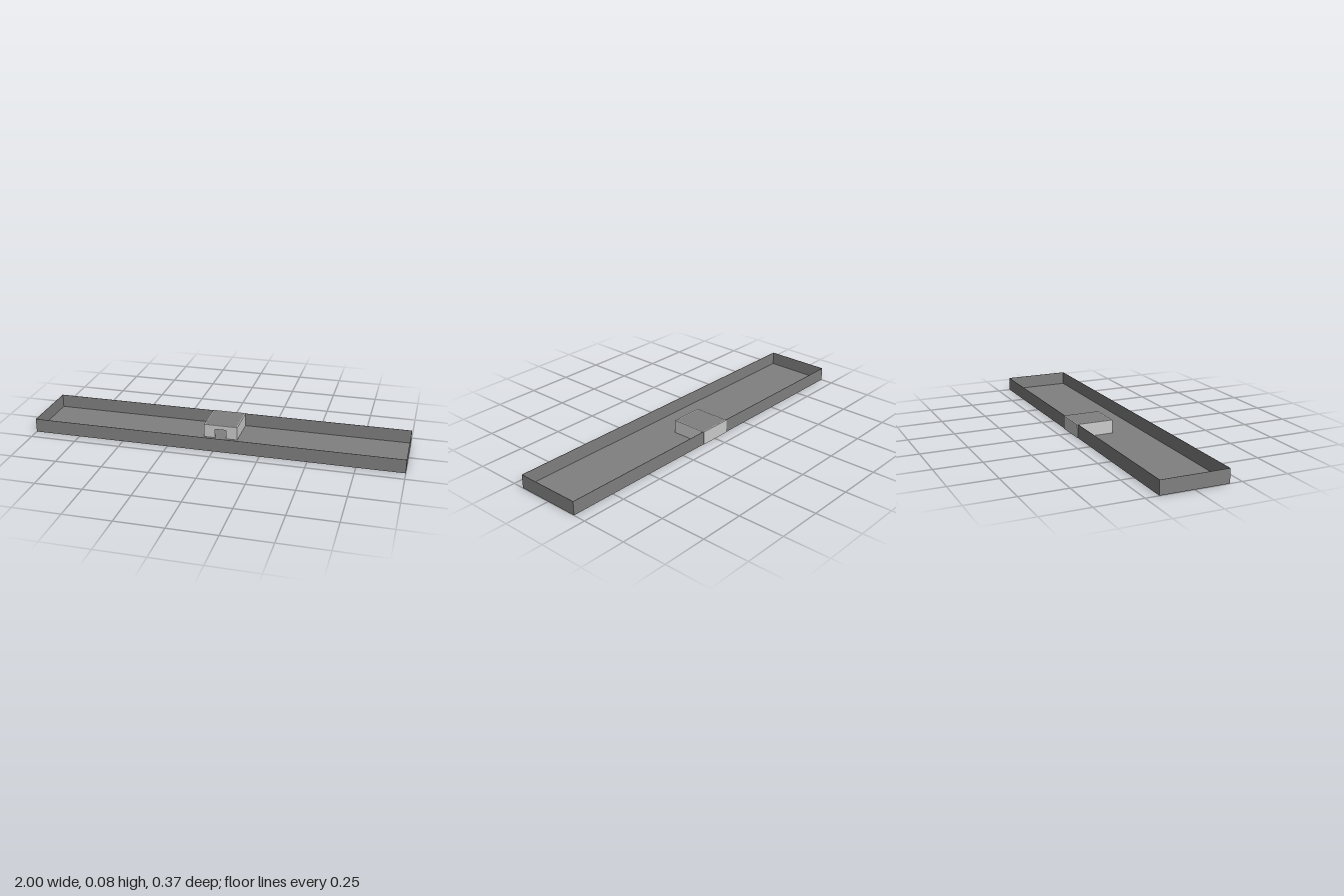
import * as THREE from 'three';

const material = (color) => new THREE.MeshStandardMaterial({ color, flatShading: true });

export function createModel() {
  const model = new THREE.Group();
  const grey = material(0x808080), light = material(0xcccccc), red = material(0xc8401c);

  // Box given by its minimum and maximum corners
  const box = (parent, name, mat, [x0, y0, z0], [x1, y1, z1]) => {
    const mesh = new THREE.Mesh(new THREE.BoxGeometry(x1 - x0, y1 - y0, z1 - z0), mat);
    mesh.position.set((x0 + x1) / 2, (y0 + y1) / 2, (z0 + z1) / 2);
    mesh.name = name;
    parent.add(mesh);
  };

  // Shallow open tray with thin walls
  const tray = new THREE.Group();
  tray.name = 'tray';
  const H = 0.075, back = -0.18, front = 0.184, t = 0.002;
  box(tray, 'floor', grey, [-1, 0.0005, back], [1, 0.0025, front]);
  box(tray, 'frontWall', grey, [-1, 0.0005, front - t], [1, H, front]);
  box(tray, 'backWall', grey, [-1, 0.0005, back], [1, H, back + t]);
  for (const s of [-1, 1]) {
    const a = s - s * t;
    box(tray, s > 0 ? 'leftWall' : 'rightWall', grey,
      [Math.min(s, a), 0.0005, back], [Math.max(s, a), H, front]);
  }

  // Small hut against the back wall, its roof set between the walls
  const hut = new THREE.Group();
  hut.name = 'hut';
  const W = 0.092, w = 0.005, hb = -0.184, hf = 0.019, y = 0.001;
  for (const s of [-1, 1]) {
    const a = s * W, b = s * (W - w);
    box(hut, s > 0 ? 'hutLeftWall' : 'hutRightWall', light,
      [Math.min(a, b), y, hb], [Math.max(a, b), H, hf]);
  }
  box(hut, 'hutBackWall', light, [-W + w, y, hb], [W - w, H, hb + w]);
  box(hut, 'hutRoof', grey, [-W + w, H - 0.004, hb + w], [W - w, H, hf - w]);

  // Front wall with a doorway
  const d = 0.031, doorTop = 0.052;
  const outline = [[-W + w, y], [-d, y], [-d, doorTop], [d, doorTop], [d, y],
    [W - w, y], [W - w, H], [-W + w, H]];
  const wall = new THREE.Shape(outline.map(([px, py]) => new THREE.Vector2(px, py)));
  const frontWall = new THREE.Mesh(
    new THREE.ExtrudeGeometry(wall, { depth: w, bevelEnabled: false }), light);
  frontWall.position.z = hf - w;
  frontWall.name = 'hutFrontWall';
  hut.add(frontWall);

  // Small red block on the hut floor
  box(hut, 'redBlock', red, [-0.032, 0, -0.152], [-0.008, 0.02, -0.128]);

  model.add(tray, hut);
  return model;
}
